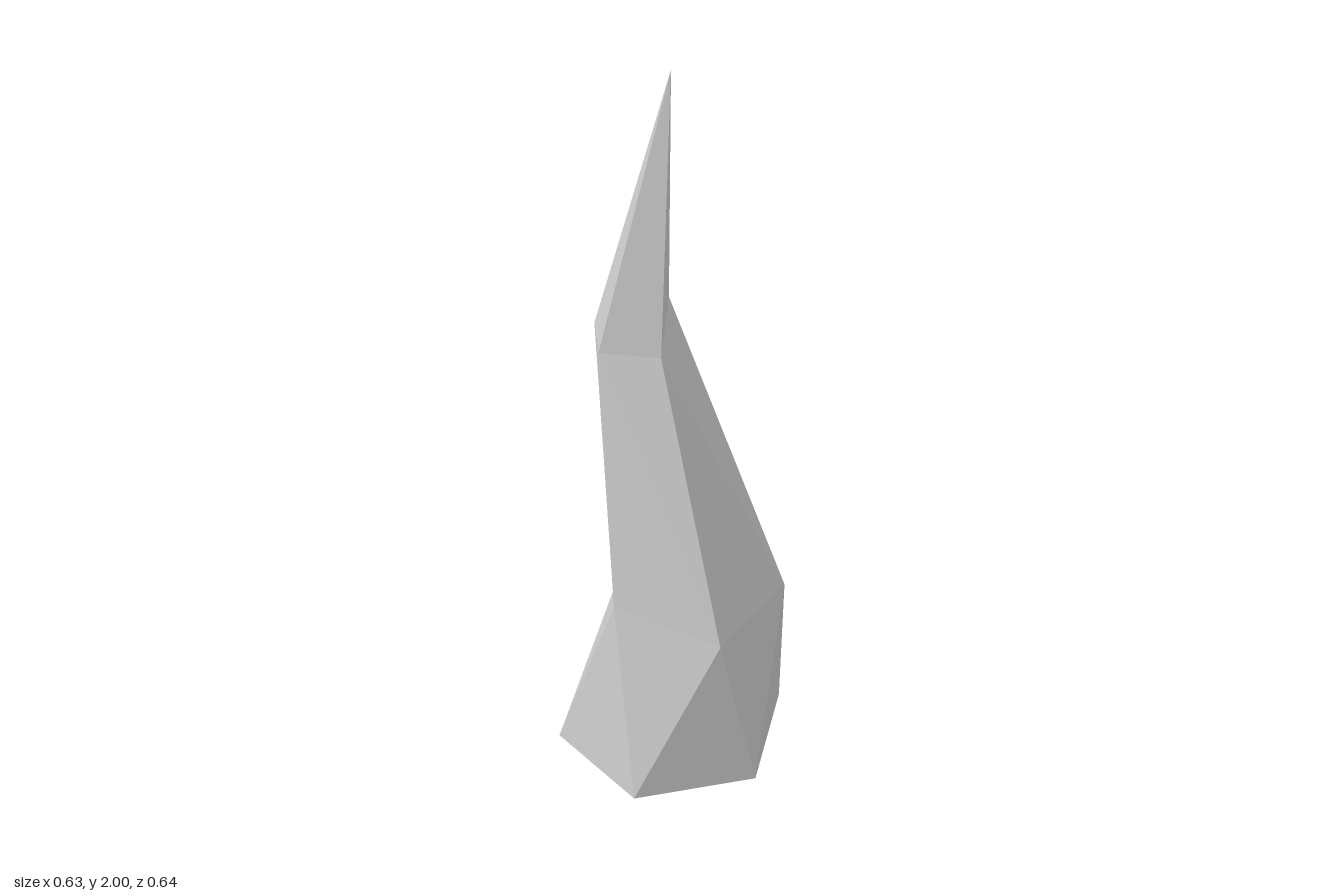
import * as THREE from 'three';

// Rings run left to right as seen from the front: [x, y, z]
const back = [-0.03, 0, -0.32];
const base = [back, [-0.315, 0, -0.085], [-0.245, 0, 0.22], [0.065, 0, 0.32], [0.315, 0, 0.085], [0.215, 0, -0.245]];
const waist = [[-0.18, 0.51, -0.065], [-0.05, 0.565, 0.22], [0.24, 0.51, 0.165], [0.275, 0.53, -0.125], back];
const neck = [[-0.23, 1.265, 0], [-0.145, 1.265, 0.115], [0.005, 1.27, 0.065], [-0.085, 1.32, -0.125]];
const tip = [[-0.005, 2, 0]];

// Stitches two rings; each step advances the lower (l) or upper (u) ring by one corner
function band(name, lower, upper, steps, material) {
  const at = (ring, i) => ring[i % ring.length];
  const points = [];
  let l = 0, u = 0;
  for (const step of steps) {
    if (step === 'l') points.push(at(lower, l), at(lower, ++l), at(upper, u));
    else points.push(at(lower, l), at(upper, u + 1), at(upper, u++));
  }
  const geometry = new THREE.BufferGeometry();
  geometry.setAttribute('position', new THREE.Float32BufferAttribute(points.flat(), 3));
  geometry.computeVertexNormals();
  const mesh = new THREE.Mesh(geometry, material);
  mesh.name = name;
  return mesh;
}

export function createModel() {
  const group = new THREE.Group();
  group.name = 'bentSpike';
  const material = new THREE.MeshStandardMaterial({ color: 0xcccccc, flatShading: true });
  group.add(
    band('bottomCap', [[0, 0, 0]], base, 'uuuuuu', material),
    band('foot', base, waist, 'llululull', material),
    band('shaft', waist, neck, 'lululului'.replace('i', 'l'), material),
    band('point', neck, tip, 'llll', material),
  );
  return group;
}
